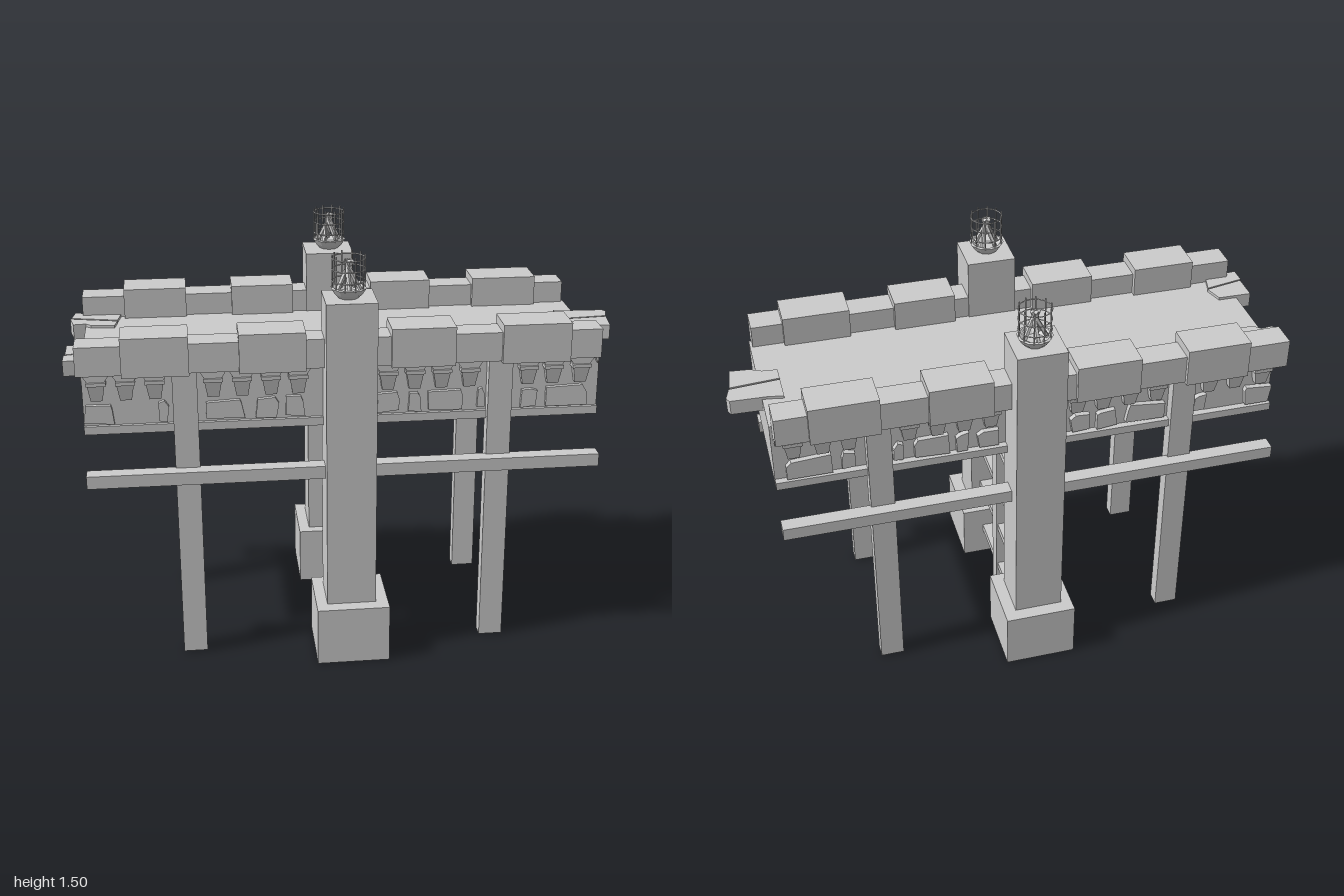
import * as THREE from 'three';

const mat = new THREE.MeshStandardMaterial({ color: 0xcccccc, flatShading: true, side: THREE.DoubleSide });

// small seeded generator for the irregular stones
let seed = 7;
const rand = () => (seed = (seed * 16807) % 2147483647) / 2147483647;

function add(parent, name, geo) {
  const m = new THREE.Mesh(geo, mat);
  m.name = name;
  parent.add(m);
  return m;
}

// box given by its two limits on every axis
function box(parent, name, x0, x1, y0, y1, z0, z1) {
  const m = add(parent, name, new THREE.BoxGeometry(x1 - x0, y1 - y0, Math.abs(z1 - z0)));
  m.position.set((x0 + x1) / 2, (y0 + y1) / 2, (z0 + z1) / 2);
  return m;
}

function prism(points, depth) {
  const shape = new THREE.Shape(points.map(([x, y]) => new THREE.Vector2(x, y)));
  return new THREE.ExtrudeGeometry(shape, { depth, bevelEnabled: false });
}

// bar between two points
function bar(parent, name, a, b, r, sides = 5) {
  const d = b.clone().sub(a);
  const m = add(parent, name, new THREE.CylinderGeometry(r, r, d.length(), sides));
  m.position.copy(a).add(b).multiplyScalar(0.5);
  m.quaternion.setFromUnitVectors(new THREE.Vector3(0, 1, 0), d.normalize());
}

// fire basket: bowl, caged bars and leaning logs
function brazier(turn) {
  const g = new THREE.Group();
  g.name = 'brazier';
  const profile = [[0, 0], [0.035, 0], [0.05, 0.015], [0.063, 0.035], [0.054, 0.037], [0.03, 0.02], [0, 0.02]];
  add(g, 'bowl', new THREE.LatheGeometry(profile.map(p => new THREE.Vector2(...p)), 10));
  const P = (r, a, y) => new THREE.Vector3(r * Math.cos(a), y, r * Math.sin(a));
  for (let i = 0; i < 10; i++) {
    const a = (i / 10) * Math.PI * 2;
    bar(g, 'cageBar', P(0.056, a, 0.03), P(0.056, a, 0.15), 0.0025, 4);
  }
  for (const y of [0.06, 0.1, 0.138]) {
    const ring = add(g, 'cageRing', new THREE.TorusGeometry(0.057, 0.0025, 4, 20));
    ring.rotation.x = Math.PI / 2;
    ring.position.y = y;
  }
  for (let i = 0; i < 5; i++) {
    const a = turn + (i / 5) * Math.PI * 2;
    bar(g, 'log', P(0.043, a, 0.025), P(0.012, a + 2.6, 0.13), 0.008, 5);
  }
  return g;
}

export function createModel() {
  const root = new THREE.Group();
  root.name = 'stoneWalkway';

  // deck and its bottom ledge
  box(root, 'deck', -0.94, 0.88, 0.88, 1.13, -0.255, 0.28);
  box(root, 'ledge', -0.94, 0.88, 0.875, 0.905, -0.28, 0.293);

  // central ladder
  box(root, 'ladderPost', -0.035, 0.04, 0.005, 0.88, -0.046, 0.014);
  for (const y of [0.125, 0.327, 0.52, 0.72])
    box(root, 'rung', -0.03, 0.035, y - 0.014, y + 0.014, -0.25, 0.25);

  const blocks = [[-0.8, -0.57], [-0.4, -0.17], [0.125, 0.35], [0.515, 0.757]];
  const corbels = [-0.89, -0.79, -0.69, -0.49, -0.39, -0.29, -0.195, 0.12, 0.215, 0.31, 0.41, 0.62, 0.71, 0.81];
  const stones = [[-0.94, -0.83], [-0.69, -0.64], [-0.53, -0.38], [-0.35, -0.26], [-0.25, -0.17],
    [0.08, 0.17], [0.19, 0.25], [0.26, 0.4], [0.43, 0.47], [0.59, 0.66], [0.68, 0.84]];

  for (const s of [1, -1]) {
    const side = new THREE.Group();
    side.name = s > 0 ? 'frontSide' : 'backSide';
    root.add(side);
    const z = v => s * v + 0.01;

    // tower on its plinth, with a brazier on top
    const dx = s > 0 ? 0 : -0.01;
    box(side, 'plinth', -0.147 + dx, 0.115 + dx, 0, 0.217, s * 0.193, s * 0.452);
    box(side, 'tower', -0.107 + dx, 0.07 + dx, 0.2, 1.352, s * 0.232, s * 0.403);
    const fire = brazier(s > 0 ? 0.3 : 0.9);
    fire.position.set(-0.022, 1.352, s * 0.322);
    side.add(fire);

    // posts and long beam
    for (const x of [-0.588, 0.518]) box(side, 'post', x - 0.043, x + 0.043, 0.005, 1.12, z(0.255), z(0.307));
    box(side, 'beam', -0.94, 0.88, 0.698, 0.745, z(0.295), z(0.35));

    // parapet rail and raised blocks
    box(side, 'parapetRail', -0.955, 0.87, 1.105, 1.21, s * 0.238, s * 0.338);
    for (const [a, b] of blocks) box(side, 'parapetBlock', a, b, 1.1, 1.24, s * 0.217, s * 0.353);

    // corbels with caps, joined by pointed arches
    const frieze = [[-0.94, 1.11], [-0.94, 1.07]];
    for (const x of corbels) {
      const geo = new THREE.CylinderGeometry(0.03 * Math.SQRT2, 0.02 * Math.SQRT2, 0.06, 4).rotateY(Math.PI / 4);
      add(side, 'corbel', geo).position.set(x, 1.032, z(0.271));
      box(side, 'corbelCap', x - 0.034, x + 0.034, 1.06, 1.073, z(0.25), z(0.307));
      frieze.push([x - 0.047, 1.1], [x - 0.028, 1.07], [x + 0.028, 1.07], [x + 0.047, 1.1]);
    }
    frieze.push([0.87, 1.07], [0.87, 1.11]);
    add(side, 'archFrieze', prism(frieze, 0.05)).position.z = s > 0 ? z(0.25) : z(0.3);

    // irregular facing stones
    for (const [a, b] of stones) {
      const j = () => rand() * 0.014;
      const pts = [[a + j(), 0.908 + j()], [b - j(), 0.908 + j()], [b - j(), 0.96 + j()],
        [b - 0.01 - j(), 0.992 - j()], [a + j(), 0.99 - j()]];
      add(side, 'facingStone', prism(pts, 0.035)).position.z = s > 0 ? z(0.25) : z(0.285);
    }
  }

  // cracked slabs overhanging both ends, outlined in x and z
  const slabs = [
    [[0.805, -0.105], [0.86, -0.095], [0.99, -0.09], [1, -0.07], [0.985, -0.018], [0.805, -0.002]],
    [[0.805, 0.005], [0.983, -0.01], [0.97, 0.092], [0.9, 0.085], [0.86, 0.065], [0.805, 0.06]],
    [[-0.985, -0.27], [-0.93, -0.262], [-0.815, -0.235], [-0.825, -0.168], [-0.995, -0.208]],
    [[-1, -0.2], [-0.825, -0.158], [-0.835, -0.105], [-0.92, -0.115], [-0.94, -0.135], [-0.985, -0.13]],
    [[-0.995, 0.1], [-0.87, 0.102], [-0.85, 0.17], [-0.995, 0.2]],
    [[-1, 0.207], [-0.855, 0.178], [-0.87, 0.24], [-0.93, 0.245], [-0.94, 0.262], [-1, 0.268]],
  ];
  for (const pts of slabs)
    add(root, 'brokenSlab', prism(pts, 0.055).rotateX(Math.PI / 2)).position.y = 1.14;

  return root;
}
